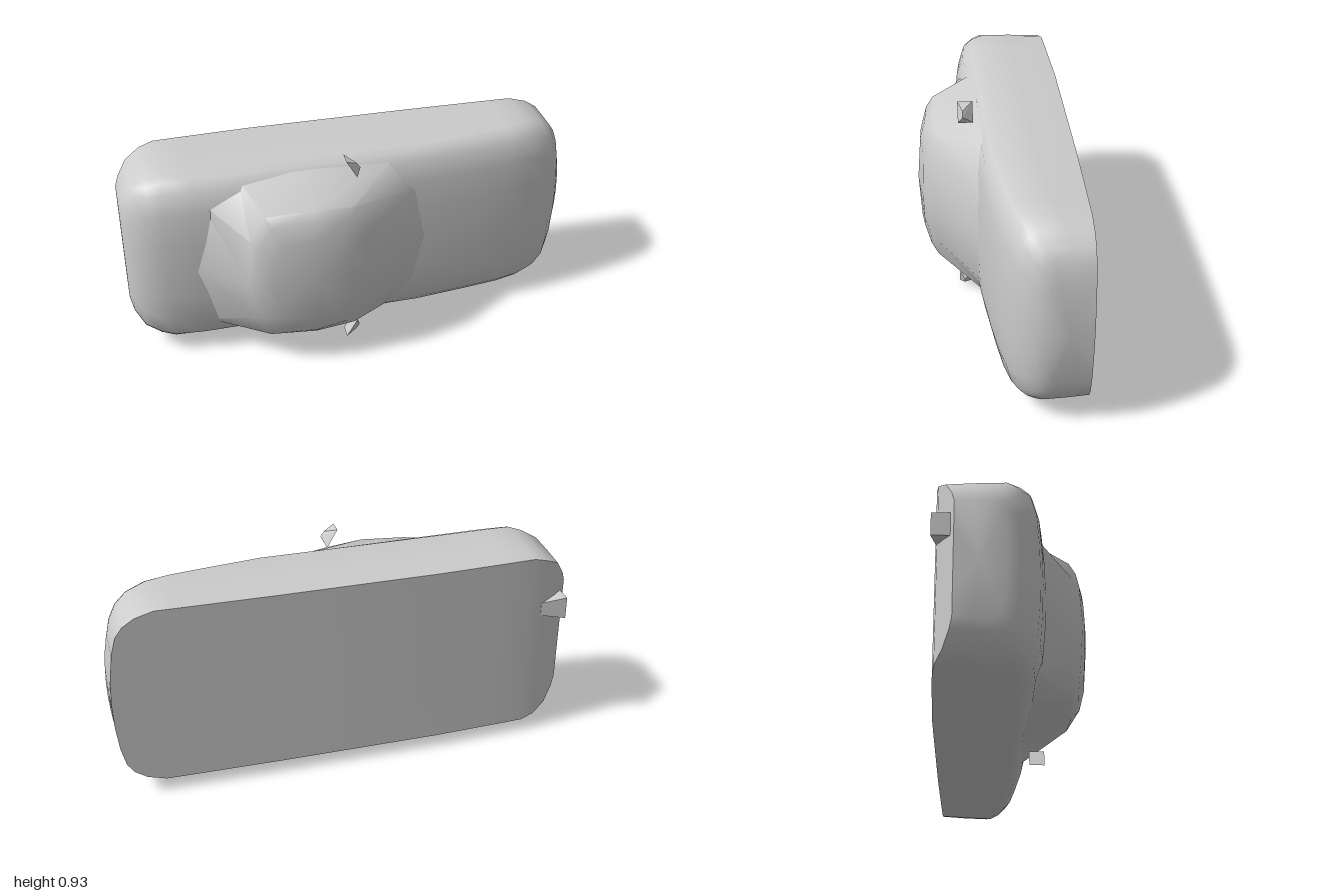
import * as THREE from 'three';
import { toCreasedNormals } from 'three/addons/utils/BufferGeometryUtils.js';
import { ConvexGeometry } from 'three/addons/geometries/ConvexGeometry.js';

const MID = 0.465; // height of the car's long axis; its roof faces +z
const material = new THREE.MeshStandardMaterial({ color: 0xcccccc });

function addMesh(group, name, geometry) {
  const mesh = new THREE.Mesh(geometry, material);
  mesh.name = name;
  group.add(mesh);
}

// Skins equal-length closed loops of [x, y, z] and closes both ends with fans.
function loft(loops, startCentre, endCentre, crease) {
  const n = loops[0].length;
  const index = [];
  const last = (loops.length - 1) * n;
  const start = loops.length * n, end = start + 1;
  for (let j = 0; j < n; j++) {
    const k = (j + 1) % n;
    for (let i = 0; i < last; i += n) {
      index.push(i + j, i + k, i + n + k, i + j, i + n + k, i + n + j);
    }
    index.push(start, k, j, end, last + j, last + k);
  }
  const points = [...loops.flat(), startCentre, endCentre];
  const geometry = new THREE.BufferGeometry();
  geometry.setAttribute('position', new THREE.Float32BufferAttribute(points.flat(), 3));
  geometry.setIndex(index);
  geometry.translate(0, MID, 0);
  return toCreasedNormals(geometry, crease);
}

// Completes a half loop (first and last points on the centre line) by mirroring.
const mirrorLoop = (half) => [
  ...half,
  ...half.slice(1, -1).reverse().map(([x, y, z]) => [x, -y, z]),
];

function bodyGeometry() {
  // x, half width, floor, widest level, top
  const stations = [
    [-1.0, 0.255, -0.23, -0.1, -0.03],
    [-0.985, 0.3, -0.24, -0.06, 0.02],
    [-0.945, 0.365, -0.265, -0.03, 0.065],
    [-0.88, 0.4, -0.297, -0.01, 0.1],
    [-0.82, 0.419, -0.305, 0, 0.112],
    [-0.7, 0.419, -0.31, 0, 0.128],
    [-0.4, 0.419, -0.32, 0, 0.118],
    [0, 0.419, -0.32, 0, 0.1],
    [0.3, 0.419, -0.32, 0, 0.082],
    [0.55, 0.419, -0.317, -0.03, 0.06],
    [0.7, 0.419, -0.315, -0.05, 0.042],
    [0.8, 0.419, -0.313, -0.08, 0.022],
    [0.88, 0.395, -0.312, -0.1, -0.005],
    [0.93, 0.36, -0.311, -0.125, -0.04],
    [0.96, 0.315, -0.31, -0.15, -0.085],
    [0.98, 0.235, -0.31, -0.17, -0.13],
  ];
  // Shoulder curve: fraction of half width, fraction of rise to the top
  const shoulder = [[1, 0], [0.96, 0.32], [0.88, 0.65], [0.66, 0.88], [0.33, 0.97], [0, 1]];
  const loops = stations.map(([x, w, floor, belt, top]) => {
    const bulge = x > 0.9 ? 0.02 * (x - 0.9) / 0.08 : 0;
    const half = [
      [0, floor], [0.5 * w, floor], [0.97 * w, floor], [0.99 * w, floor + 0.5 * (belt - floor)],
      ...shoulder.map(([a, b]) => [a * w, belt + b * (top - belt)]),
    ];
    return mirrorLoop(half.map(([y, z]) => [x + bulge * (1 - (y / w) ** 2), y, z]));
  });
  return loft(loops, [-1, 0, -0.13], [1, 0, -0.22], 0.75);
}

function cabinGeometry() {
  // Rings from the waistline up to the roof, each running nose to tail
  const rings = [
    [[0.315, 0, 0.075], [0.275, 0.24, 0.065], [0.15, 0.378, 0.05], [-0.2, 0.392, 0.05],
      [-0.5, 0.38, 0.05], [-0.665, 0.31, 0.075], [-0.715, 0, 0.12]],
    [[0.05, 0, 0.25], [0.02, 0.19, 0.245], [-0.05, 0.305, 0.24], [-0.22, 0.318, 0.25],
      [-0.42, 0.308, 0.24], [-0.49, 0.2, 0.245], [-0.51, 0, 0.262]],
    [[0, 0, 0.282], [-0.02, 0.17, 0.275], [-0.08, 0.265, 0.27], [-0.22, 0.282, 0.285],
      [-0.4, 0.27, 0.27], [-0.46, 0.18, 0.278], [-0.475, 0, 0.288]],
    [[-0.06, 0, 0.302], [-0.08, 0.12, 0.299], [-0.12, 0.19, 0.297], [-0.23, 0.2, 0.305],
      [-0.35, 0.19, 0.298], [-0.39, 0.12, 0.3], [-0.41, 0, 0.303]],
  ];
  return loft(rings.map(mirrorLoop), [-0.2, 0, 0.04], [-0.235, 0, 0.318], 0.75);
}

// Wedge hull of a wide rear face and a small front edge
const hull = (points) => new ConvexGeometry(points.map((p) => new THREE.Vector3(...p)));

export function createModel() {
  const model = new THREE.Group();
  model.name = 'car';

  addMesh(model, 'body', bodyGeometry());
  addMesh(model, 'cabin', cabinGeometry());

  // Wing mirrors on both flanks
  for (const side of [1, -1]) {
    const at = (x, y, z) => [x, MID + side * y, z];
    addMesh(model, side > 0 ? 'upperMirror' : 'lowerMirror', hull([
      at(-0.06, 0.465, 0.08), at(-0.06, 0.465, 0.145),
      at(-0.015, 0.385, 0.08), at(-0.015, 0.385, 0.145),
      at(-0.012, 0.443, 0.125), at(0.003, 0.42, 0.125),
    ]));
  }

  // Flared exhaust tip under the tail
  const y = 0.62;
  addMesh(model, 'exhaust', hull([
    [-0.98, y - 0.05, -0.318], [-0.98, y + 0.05, -0.318],
    [-0.98, y - 0.05, -0.24], [-0.98, y + 0.05, -0.24],
    [-0.87, y - 0.03, -0.3], [-0.87, y + 0.03, -0.3],
    [-0.87, y - 0.03, -0.28], [-0.87, y + 0.03, -0.28],
  ]));

  return model;
}
